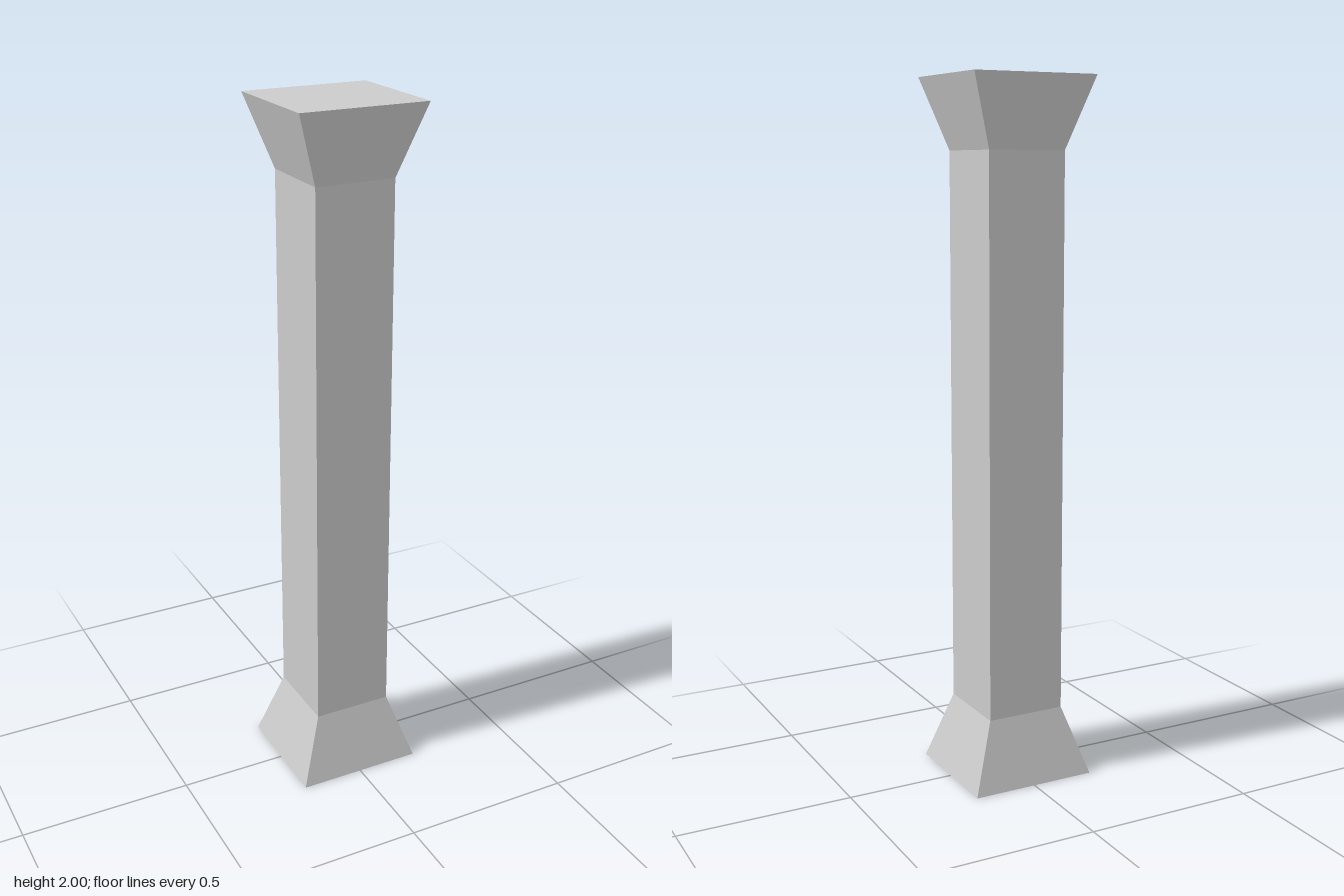
import * as THREE from 'three';

const SHAFT = [0.232, 0.242]; // width, depth of the shaft
const END = [0.37, 0.348]; // width, depth of the outer ends
const FLARE = 0.2; // height of the base and of the capital
const HEIGHT = 2;

// Box whose bottom and top rectangles may differ in size
function taperedBox(name, bottom, top, y0, y1, material) {
  const geometry = new THREE.BoxGeometry(1, 1, 1);
  const pos = geometry.attributes.position;
  for (let i = 0; i < pos.count; i++) {
    const isTop = pos.getY(i) > 0;
    const [w, d] = isTop ? top : bottom;
    pos.setXYZ(i, pos.getX(i) * w, isTop ? y1 : y0, pos.getZ(i) * d);
  }
  geometry.computeVertexNormals();
  const mesh = new THREE.Mesh(geometry, material);
  mesh.name = name;
  return mesh;
}

export function createModel() {
  const material = new THREE.MeshStandardMaterial({ color: 0xcccccc, flatShading: true });
  const column = new THREE.Group();
  column.name = 'column';
  column.add(
    // Flared foot, straight shaft and mirrored flared head
    taperedBox('base', END, SHAFT, 0, FLARE, material),
    taperedBox('shaft', SHAFT, SHAFT, FLARE, HEIGHT - FLARE, material),
    taperedBox('capital', SHAFT, END, HEIGHT - FLARE, HEIGHT, material),
  );
  return column;
}
